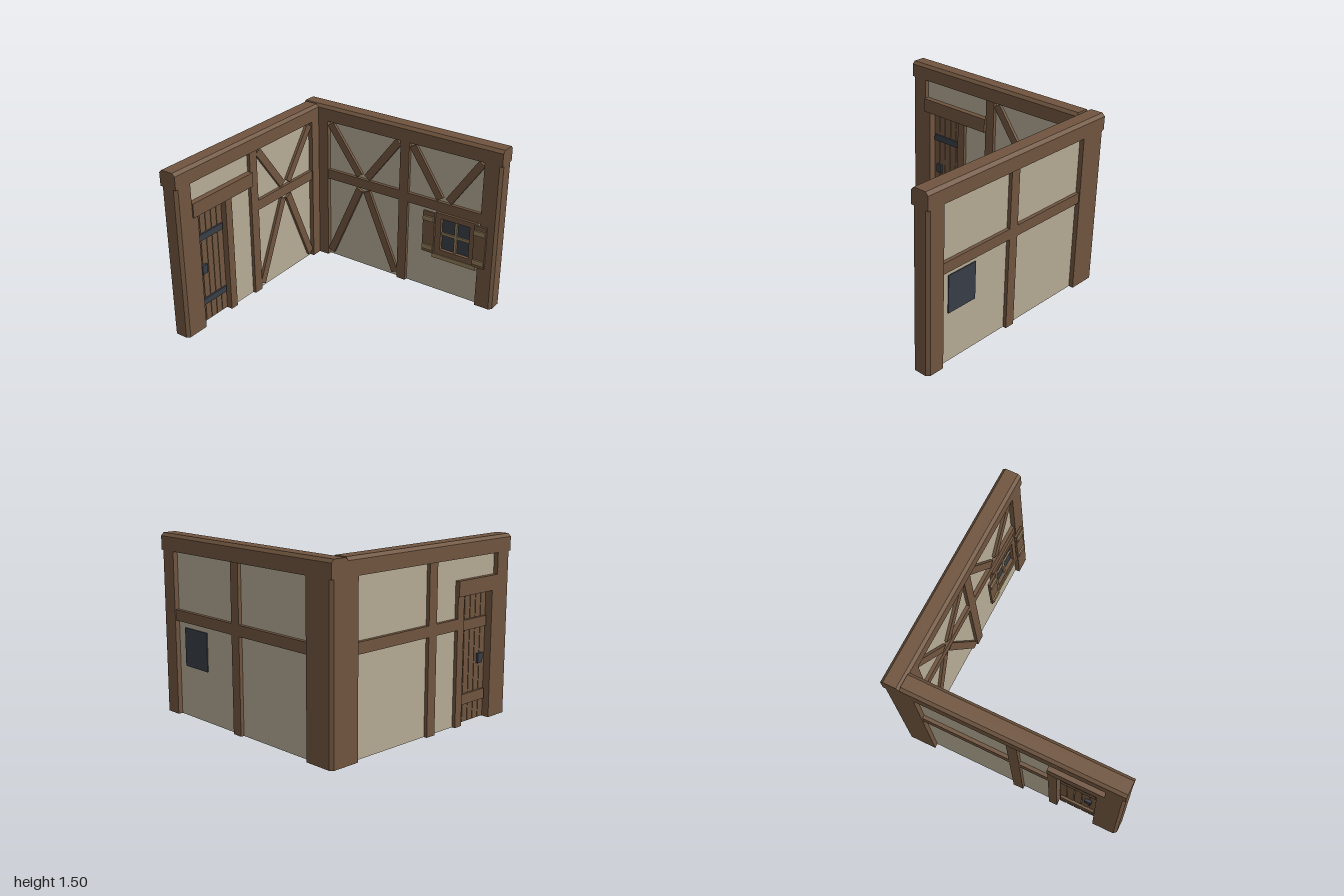
import * as THREE from 'three';

const mat = (name, color) => {
  const m = new THREE.MeshStandardMaterial({ color });
  m.name = name;
  return m;
};

export function createModel() {
  const wood = mat('timber', 0x70553f);
  const plaster = mat('plaster', 0xb5ab95);
  const trim = mat('paleWood', 0x917b5a);
  const dark = mat('darkIron', 0x383e47);
  const model = new THREE.Group();
  model.name = 'timberFramedCorner';

  const add = (group, name, geo, material) => {
    const m = new THREE.Mesh(geo, material);
    m.name = name;
    group.add(m);
    return m;
  };

  // upright prism from a plan outline of [x, z] points
  const upright = (group, name, pts, height) => {
    const shape = new THREE.Shape(pts.map(([x, z]) => new THREE.Vector2(x, -z)));
    const geo = new THREE.ExtrudeGeometry(shape, { depth: height, bevelEnabled: false });
    return add(group, name, geo.rotateX(-Math.PI / 2), wood);
  };

  // wall tools: u runs along the wall (mirrored by s), d is depth, +d faces the room
  function makeWall(name, s) {
    const g = new THREE.Group();
    g.name = name;
    model.add(g);
    const box = (part, u0, u1, y0, y1, d0, d1, material = wood) => {
      const m = add(g, part, new THREE.BoxGeometry(u1 - u0, y1 - y0, d1 - d0), material);
      m.position.set(s * (u0 + u1) / 2, (y0 + y1) / 2, (d0 + d1) / 2);
      return m;
    };
    const brace = (u0, y0, u1, y1) => {
      const len = Math.hypot(u1 - u0, y1 - y0);
      const m = add(g, 'brace', new THREE.BoxGeometry(0.07, len, 0.03), wood);
      m.position.set(s * (u0 + u1) / 2, (y0 + y1) / 2, 0.05);
      m.rotation.z = -Math.atan2(s * (u1 - u0), y1 - y0);
    };
    // top beam with chamfered upper edges
    const topBeam = (u0, u1) => {
      const shape = new THREE.Shape([
        [-0.08, 1.36], [0.08, 1.36], [0.08, 1.475], [0.055, 1.5], [-0.055, 1.5], [-0.08, 1.475],
      ].map(([x, y]) => new THREE.Vector2(x, y)));
      const geo = new THREE.ExtrudeGeometry(shape, { depth: u1 - u0, bevelEnabled: false });
      geo.rotateY(Math.PI / 2);
      add(g, 'topBeam', geo, wood).position.x = Math.min(s * u0, s * u1);
    };
    // end post with chamfered outer edges
    upright(g, 'endPost', [
      [0.84, -0.08], [0.975, -0.08], [1, -0.055], [1, 0.055], [0.975, 0.08], [0.84, 0.08],
    ].map(([u, d]) => [s * u, d]), 1.36);

    // framing shared by both walls
    box('middlePost', 0.025, 0.115, 0, 1.36, -0.07, 0.07);
    box('middleRail', -0.74, 0.025, 0.795, 0.885, -0.07, 0.07);
    brace(-0.72, 1.335, -0.4, 0.908);
    brace(0, 1.335, -0.32, 0.908);
    brace(-0.715, 0.045, -0.4, 0.77);
    brace(0, 0.045, -0.325, 0.77);
    return { g, box, brace, topBeam };
  }

  // corner post, L-shaped in plan
  upright(model, 'cornerPost', [
    [-1, -0.975], [-0.975, -1], [-0.74, -1], [-0.74, -0.84],
    [-0.84, -0.84], [-0.84, -0.74], [-1, -0.74],
  ], 1.36);

  // back wall with window
  const back = makeWall('windowWall', 1);
  back.g.position.z = -0.92;
  back.topBeam(-1, 1);
  back.box('plasterPanel', -0.76, 0.86, 0, 1.37, -0.04, 0.04, plaster);
  back.box('middleRail', 0.115, 0.84, 0.795, 0.885, -0.07, 0.07);
  back.brace(0.145, 1.335, 0.435, 0.908);
  back.brace(0.81, 1.335, 0.52, 0.908);

  back.box('windowGlass', 0.465, 0.755, 0.425, 0.745, -0.048, 0.055, dark);
  for (const [u0, u1] of [[0.415, 0.47], [0.75, 0.8]])
    back.box('windowFrameSide', u0, u1, 0.385, 0.79, 0.03, 0.086);
  back.box('windowFrameTop', 0.47, 0.75, 0.74, 0.79, 0.03, 0.086);
  back.box('windowFrameBottom', 0.47, 0.75, 0.385, 0.435, 0.03, 0.086);
  back.box('windowBarUpright', 0.597, 0.622, 0.435, 0.74, 0.05, 0.07, trim);
  back.box('windowBarLevel', 0.47, 0.75, 0.575, 0.6, 0.05, 0.068, trim);
  back.box('windowSill', 0.395, 0.825, 0.345, 0.385, 0.03, 0.092, trim);
  for (const [u0, u1] of [[0.3, 0.415], [0.8, 0.915]]) {
    back.box('shutter', u0, u1, 0.39, 0.785, 0.087, 0.106);
    for (const y of [0.42, 0.7])
      back.box('shutterBatten', u0 + 0.005, u1 - 0.005, y, y + 0.045, 0.1, 0.12, trim);
  }

  // side wall with door
  const side = makeWall('doorWall', -1);
  side.g.position.x = -0.92;
  side.g.rotation.y = Math.PI / 2;
  side.topBeam(-0.84, 1);
  side.box('plasterPanel', -0.76, 0.37, 0, 1.37, -0.04, 0.04, plaster);
  side.box('plasterOverDoor', 0.37, 0.85, 1.17, 1.37, -0.04, 0.04, plaster);
  side.box('outerRail', 0.115, 0.365, 0.795, 0.885, -0.07, -0.03);
  side.box('doorJamb', 0.365, 0.44, 0, 1.06, -0.07, 0.07);
  side.box('doorJamb', 0.78, 0.84, 0, 1.06, -0.08, 0.08);
  side.box('doorLintel', 0.365, 0.84, 1.06, 1.185, -0.08, 0.092);
  side.box('doorLintelEnd', 0.11, 0.365, 1.06, 1.185, 0.03, 0.092);

  // plank door with iron straps inside and ledges outside
  for (let i = 0; i < 5; i++) {
    const u = 0.445 + i * 0.0667;
    side.box('doorPlank', u, u + 0.061, 0.006, 1.043, -0.02, 0.02);
  }
  for (const y of [0.175, 0.785]) {
    side.box('doorStrap', 0.457, 0.762, y, y + 0.057, 0.015, 0.035, dark);
    side.box('doorLedge', 0.457, 0.762, y - 0.015, y + 0.07, -0.04, -0.015);
  }
  for (const d of [-0.04, 0.015])
    side.box('doorLatch', 0.672, 0.73, 0.47, 0.552, d, d + 0.025, dark);

  return model;
}
